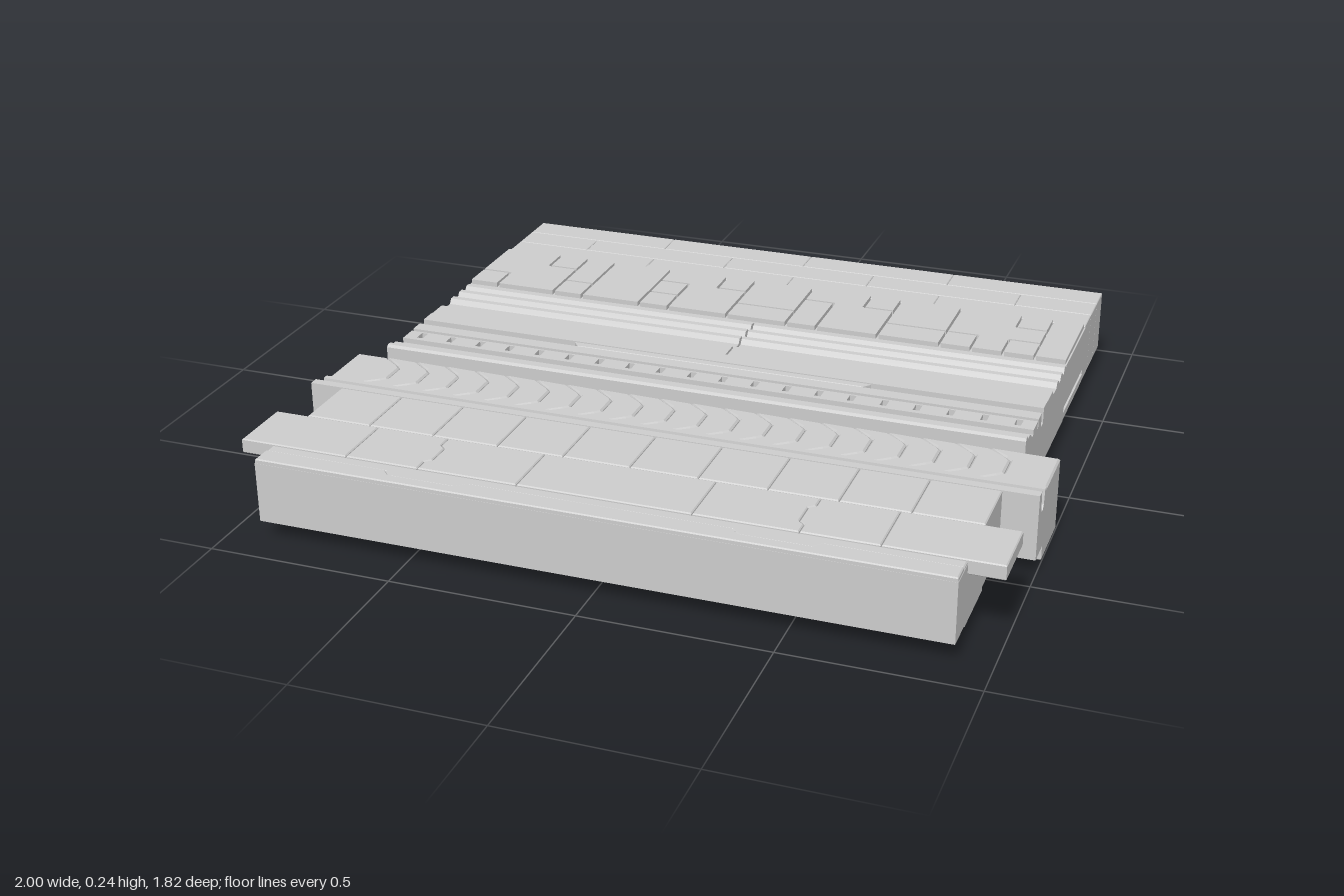
import * as THREE from 'three';

const material = new THREE.MeshStandardMaterial({ color: 0xcccccc });
const W = 0.908; // half width of the main body
const UNIT = W / 10; // module shared by tiles, notches and rope turns

export function createModel() {
  const root = new THREE.Group();

  const group = (name) => {
    const g = new THREE.Group();
    g.name = name;
    root.add(g);
    return g;
  };
  const add = (parent, name, geometry) => {
    const mesh = new THREE.Mesh(geometry, material);
    mesh.name = name;
    parent.add(mesh);
    return mesh;
  };
  // Plain box given by its limits
  const box = (parent, name, x0, x1, y0, y1, z0, z1) =>
    add(parent, name, new THREE.BoxGeometry(x1 - x0, y1 - y0, z1 - z0)
      .translate((x0 + x1) / 2, (y0 + y1) / 2, (z0 + z1) / 2));
  // Moulding: a [z, y] profile swept along x
  const moulding = (parent, name, profile, x0, x1) => {
    const shape = new THREE.Shape(profile.map(([z, y]) => new THREE.Vector2(z, y)));
    const g = new THREE.ExtrudeGeometry(shape, { depth: x1 - x0, bevelEnabled: false });
    return add(parent, name, g.rotateY(-Math.PI / 2).translate(x1, 0, 0));
  };
  // Chamfered stone: an [x, z] outline raised from y0 to y1
  const slab = (parent, name, outline, y0, y1, bevel = 0.003, gap = 0.0005) => {
    const shape = new THREE.Shape(outline.map(([x, z]) => new THREE.Vector2(x, -z)));
    const g = new THREE.ExtrudeGeometry(shape, {
      depth: y1 - y0 - 2 * bevel, bevelThickness: bevel, bevelSize: bevel,
      bevelOffset: -bevel - gap, bevelSegments: 1,
    });
    return add(parent, name, g.rotateX(-Math.PI / 2).translate(0, y0 + bevel, 0));
  };
  const rect = (x0, x1, z0, z1) => [[x0, z0], [x1, z0], [x1, z1], [x0, z1]];
  // Row of stones between successive seams
  const stoneRow = (name, seams, z0, z1, y0, y1, bevel, gap) => {
    const g = group(name);
    const xs = [-W, ...seams, W];
    for (let i = 0; i < xs.length - 1; i++)
      slab(g, 'stone', rect(xs[i], xs[i + 1], z0, z1), y0, y1, bevel, gap);
    return g;
  };

  // Three courses of long bricks at the back
  stoneRow('backBricks', [-0.454, 0, 0.454], -0.91, -0.82, 0.05, 0.225, 0.002);
  stoneRow('middleBricks', [-0.681, -0.227, 0.227, 0.681], -0.82, -0.73, 0.05, 0.225, 0.002);
  stoneRow('innerBricks', [-0.454, 0, 0.454], -0.73, -0.64, 0.05, 0.225, 0.002);

  // Irregular paving: equal letters in the map fuse into one tile
  const paving = group('paving');
  box(paving, 'pavingBase', -W, W, 0.052, 0.074, -0.64, -0.36);
  box(paving, 'pavingBed', -W, W, 0.09, 0.22, -0.64, -0.36);
  const map = ['aabcddeefgghhijjkklm', 'aaacddneeggohhjjkkkm', 'paaqddreessohhttukvm'];
  const rowDepth = 0.28 / 3;
  map.forEach((row, r) => [...row].forEach((id, c) => {
    const inset = (rr, cc) => (map[rr]?.[cc] === id ? 0 : 0.004);
    const x = -W + c * UNIT, z = -0.64 + r * rowDepth;
    box(paving, 'tile', x + inset(r, c - 1), x + UNIT - inset(r, c + 1), 0.21, 0.234,
      z + inset(r - 1, c), z + rowDepth - inset(r + 1, c));
  }));

  // Ridged moulding, in two halves
  const ridges = [[-0.1, 0.05], [-0.1, 0.226], [-0.165, 0.226], [-0.172, 0.214], [-0.19, 0.21]];
  for (const z of [-0.24, -0.295, -0.345])
    ridges.push([z + 0.022, 0.21], [z + 0.012, 0.224], [z - 0.006, 0.224], [z - 0.015, 0.21]);
  ridges.push([-0.36, 0.21], [-0.36, 0.05]);
  const ridged = group('ridgedMoulding');
  moulding(ridged, 'ridgedHalf', ridges, -W, -0.003);
  moulding(ridged, 'ridgedHalf', ridges, 0.003, W);

  // Slotted cornice in the centre
  const cornice = group('cornice');
  moulding(cornice, 'corniceBody', [
    [0.183, 0.05], [0.183, 0.235], [0.175, 0.241], [0.162, 0.241], [0.155, 0.231], [0.13, 0.231],
    [0.115, 0.222], [0.1, 0.21], [0.085, 0.21], [0.085, 0.224], [0.07, 0.224], [0.07, 0.2],
    [0.02, 0.2], [0.02, 0.226], [-0.02, 0.226], [-0.02, 0.185], [-0.047, 0.185], [-0.047, 0.228],
    [-0.1, 0.228], [-0.1, 0.05],
  ], -W, W);
  slab(cornice, 'slotFiller', [[-0.435, -0.047], [0.435, -0.047], [0.415, -0.022], [-0.415, -0.022]],
    0.184, 0.226, 0.002);
  // Ledge cut by a row of small notches
  for (let i = 0; i <= 20; i++) {
    const x0 = i === 0 ? -W : -W + (i - 0.5) * UNIT + 0.009;
    const x1 = i === 20 ? W : -W + (i + 0.5) * UNIT - 0.009;
    box(cornice, 'ledgeBlock', x0, x1, 0.195, 0.224, 0.032, 0.071);
  }
  box(cornice, 'ledgeBack', -W, W, 0.195, 0.224, 0.03, 0.036);

  // Rope beam: turns with bent edges nested into one another
  const beam = group('ropeBeam');
  box(beam, 'beamCore', -0.995, 0.995, 0.012, 0.192, 0.189, 0.358);
  const bend = (x) => [[x, 0.183], [x + 0.05, 0.22], [x + 0.064, 0.235], [x + 0.064, 0.31],
    [x + 0.05, 0.325], [x, 0.365]];
  const edges = [[[-1, 0.183], [-1, 0.365]]];
  for (let k = 0; k < 20; k++) edges.push(bend(-W + k * UNIT));
  edges.push([[1, 0.183], [1, 0.365]]);
  for (let k = 0; k < edges.length - 1; k++)
    slab(beam, 'ropeTurn', [...edges[k + 1], ...[...edges[k]].reverse()], 0, 0.204, 0.005, 0.001);

  // Channelled moulding in front of the beam
  moulding(group('channelMoulding'), 'channel', [
    [0.45, 0.047], [0.45, 0.226], [0.424, 0.226], [0.418, 0.175], [0.41, 0.163], [0.398, 0.163],
    [0.388, 0.172], [0.382, 0.212], [0.366, 0.212], [0.366, 0.047],
  ], -1, 1);

  // Square stones
  const squares = [];
  for (let i = -4; i <= 4; i++) squares.push(i * 2 * UNIT);
  const squareRow = stoneRow('squareStones', squares, 0.45, 0.635, 0.05, 0.226, 0.003, 0.001);
  box(squareRow, 'squareCore', -W + 0.005, W - 0.005, 0.056, 0.212, 0.452, 0.633);

  // Overhanging flagstones, two joints with a jog
  const flags = group('flagstones');
  box(flags, 'flagstoneBase', -W, W, 0.045, 0.2, 0.635, 0.815);
  const joint = (x, jog) => [[x, 0.635], [x, 0.675], [x + jog, 0.69], [x + jog, 0.76],
    [x, 0.775], [x, 0.815]];
  const joints = [[-1, 0], [-0.7, 0], [-0.5, 0.016], [-0.23, 0], [0.23, 0], [0.5, -0.016], [0.7, 0], [1, 0]]
    .map(([x, jog]) => (jog ? joint(x, jog) : [[x, 0.635], [x, 0.815]]));
  for (let i = 0; i < joints.length - 1; i++)
    slab(flags, 'flagstone', [...joints[i + 1], ...[...joints[i]].reverse()], 0.185, 0.225, 0.003, 0.001);

  // Front kerb with a stepped groove
  const kerb = group('kerb');
  box(kerb, 'kerbBody', -W, W, 0.05, 0.214, 0.815, 0.908);
  const groove = [[-W, 0.85], [-0.57, 0.85], [-0.55, 0.872], [-0.37, 0.872], [-0.345, 0.85],
    [0.345, 0.85], [0.37, 0.872], [0.55, 0.872], [0.57, 0.85], [W, 0.85]];
  slab(kerb, 'kerbInner', [[W, 0.815], [-W, 0.815], ...groove], 0.2, 0.222, 0.003, 0.001);
  slab(kerb, 'kerbOuter', [[W, 0.908], [-W, 0.908], ...groove], 0.2, 0.226, 0.003, 0.001);

  return root;
}
